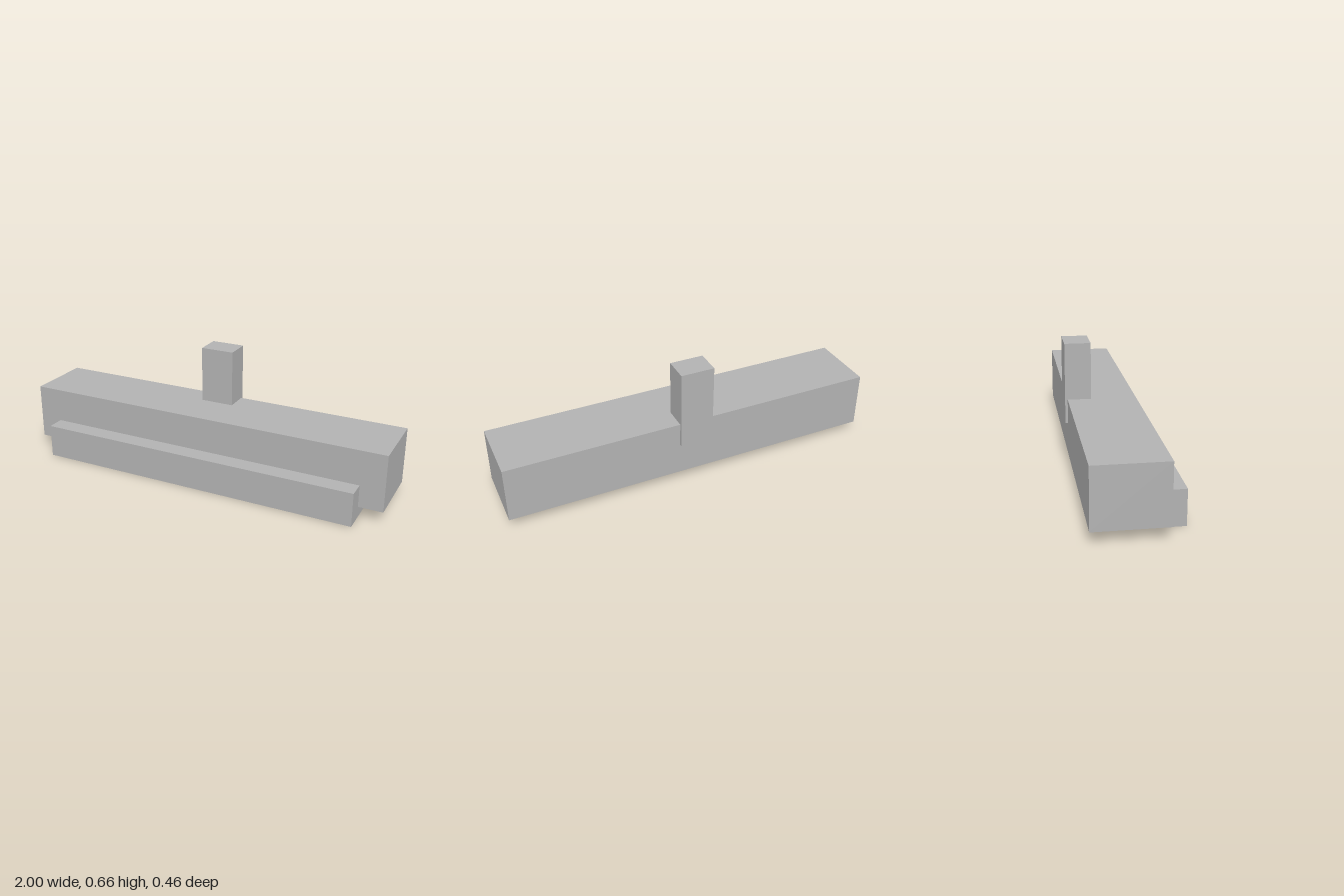
import * as THREE from 'three';

export function createModel() {
  const model = new THREE.Group();
  const grey = new THREE.MeshStandardMaterial({ color: 0xb2b2b2 });
  grey.name = 'plain grey';

  // Box symmetric in x, given by its y and z limits
  function block(name, width, [y0, y1], [z0, z1]) {
    const mesh = new THREE.Mesh(new THREE.BoxGeometry(width, y1 - y0, z1 - z0), grey);
    mesh.name = name;
    mesh.position.set(0, (y0 + y1) / 2, (z0 + z1) / 2);
    model.add(mesh);
  }

  // Long main beam
  block('mainBeam', 2, [0.062, 0.361], [-0.218, 0.137]);
  // Lower ledge stepping out at the front
  block('frontLedge', 1.75, [0, 0.178], [-0.069, 0.231]);
  // Upright post, standing slightly proud of the back
  block('rearPost', 0.177, [0.235, 0.656], [-0.231, -0.097]);

  return model;
}
